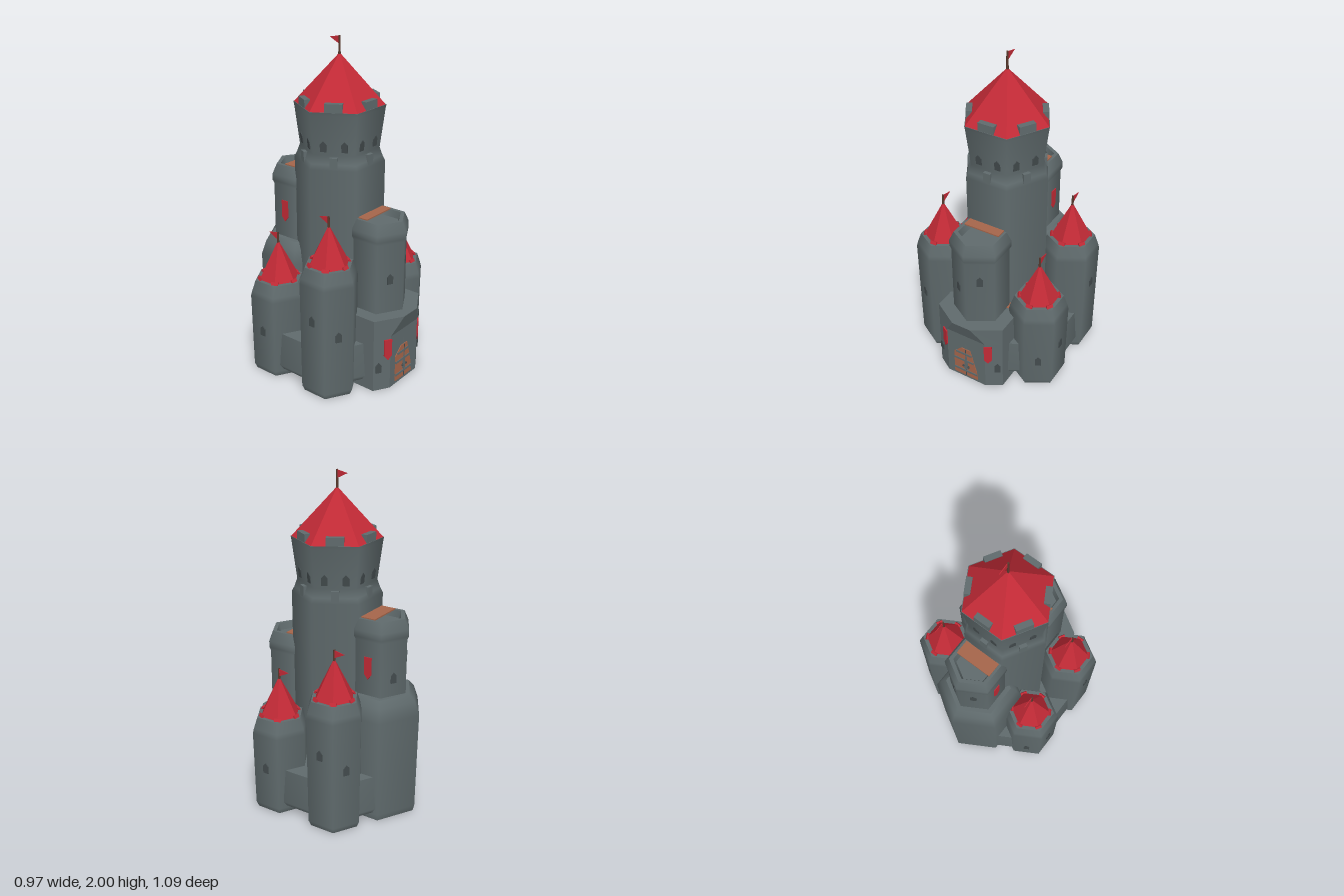
import * as THREE from 'three';

const mat = (name, color, opts = {}) => {
  const m = new THREE.MeshStandardMaterial({ color, ...opts });
  m.name = name;
  return m;
};

export function createModel() {
  const castle = new THREE.Group();
  castle.name = 'castle';
  const stone = mat('stone', 0x5f6a6c);
  const darkStone = mat('darkStone', 0x434b4d);
  const red = mat('redCloth', 0xc22a36, { flatShading: true, side: THREE.DoubleSide });
  const wood = mat('wood', 0xa5654a);
  const poleWood = mat('poleWood', 0x5a3a2e);

  const add = (parent, name, geo, m, x = 0, y = 0, z = 0, ry = 0) => {
    const mesh = new THREE.Mesh(geo, m);
    mesh.name = name;
    mesh.position.set(x, y, z);
    mesh.rotation.y = ry;
    parent.add(mesh);
    return mesh;
  };

  // six-sided turned body; a repeated profile point makes a sharp edge
  const hexBody = (parent, name, profile, x, z, start = 0) =>
    add(parent, name, new THREE.LatheGeometry(
      profile.map(([r, y]) => new THREE.Vector2(r, y)), 6, start), stone, x, 0, z);

  // thin plate from a 2D outline
  const plate = (points, t = 0.008) => new THREE.ExtrudeGeometry(
    new THREE.Shape(points.map(([x, y]) => new THREE.Vector2(x, y))),
    { depth: t, bevelEnabled: false });

  const slit = plate([[-0.018, -0.03], [0.018, -0.03], [0.018, 0.015], [0, 0.035], [-0.018, 0.015]]);
  const bannerGeo = plate([[-0.024, 0.065], [0.024, 0.065], [0.024, -0.04], [0, -0.07], [-0.024, -0.04]]);

  // place something on a hex face: angle a from +z, apothem d
  const onFace = (parent, name, geo, m, cx, y, cz, a, d) =>
    add(parent, name, geo, m, cx + Math.sin(a) * d, y, cz + Math.cos(a) * d, a);

  // pole with a pennant flying backwards
  const flag = (parent, x, y, z, h) => {
    add(parent, 'flagPole', new THREE.CylinderGeometry(0.006, 0.008, h, 5), poleWood, x, y + h / 2, z);
    add(parent, 'flag', plate([[0, 0], [0, -0.048], [0.07, -0.014]], 0.004), red,
      x, y + h - 0.002, z, Math.PI / 2);
  };

  // plinth joining all the towers
  hexBody(castle, 'plinth',
    [[0, 0.05], [0.5, 0.05], [0.5, 0.05], [0.52, 0.08], [0.505, 0.29], [0.505, 0.29], [0, 0.29]], 0, 0);

  // central keep with flared upper storey
  const keep = new THREE.Group();
  keep.name = 'keep';
  castle.add(keep);
  const kz = 0.017;
  hexBody(keep, 'keepBody',
    [[0, 0.05], [0.262, 0.05], [0.262, 0.05], [0.265, 1.29], [0.25, 1.32], [0.232, 1.37],
      [0.262, 1.6], [0.266, 1.62], [0.266, 1.62], [0, 1.62]], 0, kz, Math.PI / 6);
  add(keep, 'keepRoof', new THREE.ConeGeometry(0.262, 0.285, 6, 1, false, Math.PI / 6), red, 0, 1.7625, kz);
  flag(keep, 0, 1.88, kz, 0.12);
  for (let i = 0; i < 6; i++) {
    const a = i * Math.PI / 3;
    onFace(keep, 'merlon', new THREE.BoxGeometry(0.1, 0.05, 0.035), stone, 0, 1.643, kz, a, 0.21);
    onFace(keep, 'corbel', new THREE.BoxGeometry(0.045, 0.07, 0.04), stone, 0, 1.325, kz, a, 0.206);
    for (const s of [-1, 1]) {
      const w = onFace(keep, 'keepWindow', slit, darkStone, 0, 1.42, kz, a, 0.203);
      w.translateX(s * 0.06);
      w.rotateX(0.115);
    }
  }

  // corner turrets: tall and short ones on opposite diagonals
  for (const [x, z, h] of [[0.33, 0.207, 0.5], [-0.33, 0.207, 0.7], [0.33, -0.178, 0.7], [-0.33, -0.178, 0.5]]) {
    const turret = new THREE.Group();
    turret.name = 'turret';
    castle.add(turret);
    hexBody(turret, 'turretBody',
      [[0, 0], [0.155, 0], [0.155, 0], [0.17, 0.035], [0.176, h], [0.168, h + 0.03], [0.145, h + 0.095],
        [0.145, h + 0.095], [0, h + 0.095]], x, z);
    add(turret, 'turretRoof', new THREE.ConeGeometry(0.128, 0.25, 6), red, x, h + 0.205, z);
    for (let i = 0; i < 6; i++) {
      const a = i * Math.PI / 3;
      const tab = onFace(turret, 'roofTab', new THREE.BoxGeometry(0.04, 0.045, 0.012), red, x, h + 0.09, z, a, 0.123);
      tab.rotateX(-0.47);
    }
    flag(turret, x, h + 0.31, z, 0.07);
    const side = Math.sign(x) * Math.PI / 2;
    onFace(turret, 'turretWindow', slit, darkStone, x, h - 0.21, z, side, 0.148);
    onFace(turret, 'turretWindow', slit, darkStone, x, h - 0.3, z,
      Math.sign(x) * (z > 0 ? Math.PI / 6 : 5 * Math.PI / 6), 0.147);
  }

  // front and rear towers with open parapets and planked decks
  const parapetTower = (name, z, base, top) => {
    const tower = new THREE.Group();
    tower.name = name;
    castle.add(tower);
    hexBody(tower, name + 'Body',
      [[0, base], [0.168, base], [0.168, base], [0.168, top - 0.12], [0.178, top - 0.1], [0.178, top - 0.06],
        [0.15, top], [0.15, top], [0.125, top], [0.125, top], [0.11, top - 0.04], [0.11, top - 0.04], [0, top - 0.04]], 0, z);
    const s = Math.sign(z);
    add(tower, 'deck', new THREE.BoxGeometry(0.23, 0.008, 0.09), wood, 0, top + 0.002, s * 0.262);
    for (const [a, y] of [[-1, 0.34], [1, 0.25]]) {
      onFace(tower, 'towerWindow', slit, darkStone, 0, top - y, z,
        (s > 0 ? 0 : Math.PI) + a * Math.PI / 6, 0.142);
    }
    return tower;
  };
  parapetTower('frontTower', 0.32, 0.4, 1.01);
  const rear = parapetTower('rearTower', -0.285, 0.7, 1.21);
  for (const s of [-1, 1]) {
    onFace(rear, 'rearBanner', bannerGeo, red, 0, 0.93, -0.285, s * Math.PI / 2, 0.142);
  }

  // broad lower bastion behind
  hexBody(castle, 'rearBastion',
    [[0, 0], [0.245, 0], [0.245, 0], [0.255, 0.04], [0.265, 0.64], [0.235, 0.72], [0.2, 0.76],
      [0.2, 0.76], [0, 0.76]], 0, -0.28);

  // gatehouse: flat fronted, its brow leaning forward
  const gate = new THREE.Group();
  gate.name = 'gatehouse';
  castle.add(gate);
  const outline = [[-0.225, 0.15], [0.225, 0.15], [0.225, 0.45], [0.134, 0.505], [-0.134, 0.505], [-0.225, 0.45]];
  const gateGeo = new THREE.ExtrudeGeometry(
    new THREE.Shape(outline.map(([x, z]) => new THREE.Vector2(x, -z)).reverse()),
    { depth: 0.46, steps: 4, bevelEnabled: false });
  gateGeo.rotateX(-Math.PI / 2);
  const p = gateGeo.attributes.position;
  for (let i = 0; i < p.count; i++) {
    if (p.getY(i) > 0.4 && p.getZ(i) > 0.48) {
      p.setZ(i, 0.547);
      p.setX(i, p.getX(i) * 0.47);
    }
  }
  gateGeo.computeVertexNormals();
  add(gate, 'gatehouseBody', gateGeo, stone);
  add(gate, 'gateDeck', new THREE.BoxGeometry(0.36, 0.008, 0.12), wood, 0, 0.462, 0.21);
  // double door with iron straps
  add(gate, 'door', plate([[-0.085, 0.02], [0.08, 0.02], [0.075, 0.08], [0.03, 0.24], [-0.03, 0.24], [-0.085, 0.19]]),
    wood, 0, 0, 0.502);
  for (const [y, x0, x1] of [[0.06, -0.085, 0.075], [0.145, -0.085, 0.055], [0.2, -0.07, 0.04]]) {
    add(gate, 'doorStrap', new THREE.BoxGeometry(x1 - x0, 0.014, 0.008), stone, (x0 + x1) / 2, y, 0.51);
  }
  add(gate, 'doorGap', new THREE.BoxGeometry(0.005, 0.215, 0.004), darkStone, 0, 0.13, 0.51);
  for (const s of [-1, 1]) {
    add(gate, 'doorKnob', new THREE.SphereGeometry(0.008, 6, 4), darkStone, s * 0.018, 0.1, 0.512);
    add(gate, 'gateBanner', bannerGeo, red, s * 0.15, 0.265, 0.496, s * 0.54);
    onFace(gate, 'gateWindow', slit, darkStone, s * 0.197, 0.15, 0.465, s * 0.54, 0.002);
  }
  return castle;
}
